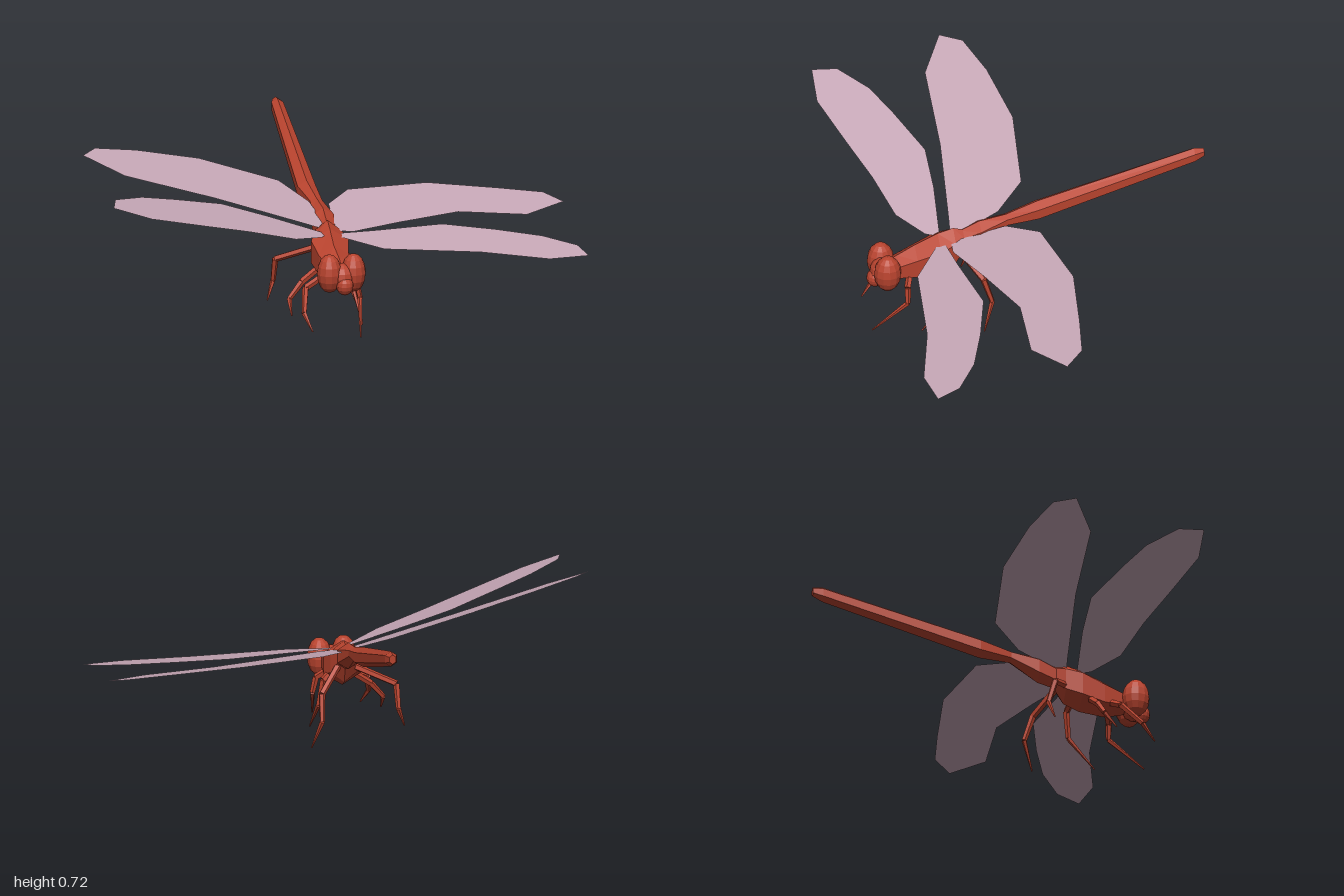
import * as THREE from 'three';

const bodyRed = new THREE.MeshStandardMaterial({ color: 0xb8432e });
bodyRed.name = 'body red';
const wingMauve = new THREE.MeshStandardMaterial({ color: 0xc6a7b6, side: THREE.DoubleSide });
wingMauve.name = 'wing mauve';

const forward = new THREE.Vector3(-0.6, 0, 0.8);
const side = new THREE.Vector3(0.8, 0, 0.6);
const yaw = Math.atan2(forward.x, forward.z);

function mesh(name, geometry, material) {
  const m = new THREE.Mesh(geometry, material);
  m.name = name;
  return m;
}

// Facet every face of a geometry
function flat(geometry) {
  const g = geometry.index ? geometry.toNonIndexed() : geometry;
  g.computeVertexNormals();
  return g;
}

// Hexagonal loft; stations are [x, y, z, half width, half height] from head to tail
function loft(stations) {
  const n = 6, pos = [], index = [];
  for (const [x, y, z, w, h] of stations) {
    for (let j = 0; j < n; j++) {
      const a = (j + 0.5) / n * Math.PI * 2;
      const c = Math.cos(a) * w * 1.1, s = Math.sin(a) * h;
      pos.push(x + side.x * c, y + s, z + side.z * c);
    }
  }
  const last = (stations.length - 1) * n;
  for (let i = 0; i < last; i += n) {
    for (let j = 0; j < n; j++) {
      const k = (j + 1) % n;
      index.push(i + j, i + n + j, i + k, i + k, i + n + j, i + n + k);
    }
  }
  for (let j = 1; j < n - 1; j++) {
    index.push(0, j, j + 1, last, last + j + 1, last + j);
  }
  const g = new THREE.BufferGeometry();
  g.setAttribute('position', new THREE.Float32BufferAttribute(pos, 3));
  g.setIndex(index);
  return flat(g);
}

// Flat membrane: outline in x and z, lying on the plane y = 0.386 + bx + cz
function wing(name, b, c, outline) {
  const shape = new THREE.Shape(outline.map(([x, z]) => new THREE.Vector2(x, -z)));
  const g = new THREE.ShapeGeometry(shape);
  const p = g.attributes.position;
  for (let i = 0; i < p.count; i++) {
    const x = p.getX(i), z = -p.getY(i);
    p.setXYZ(i, x, 0.386 + b * x + c * z, z);
  }
  g.computeVertexNormals();
  return mesh(name, g, wingMauve);
}

// Tapering leg through its joints, root first
function leg(name, joints) {
  const group = new THREE.Group();
  group.name = name;
  const radii = [0.015, 0.014, 0.011, 0.003];
  const pts = joints.map((j) => new THREE.Vector3(...j));
  for (let i = 0; i < pts.length - 1; i++) {
    const d = pts[i + 1].clone().sub(pts[i]);
    const r1 = i === pts.length - 2 ? 0.003 : radii[i + 1];
    const m = mesh('legSegment', flat(new THREE.CylinderGeometry(r1, radii[i], d.length(), 5)), bodyRed);
    m.position.copy(pts[i]).addScaledVector(d, 0.5);
    m.quaternion.setFromUnitVectors(new THREE.Vector3(0, 1, 0), d.normalize());
    group.add(m);
  }
  return group;
}

function ellipsoid(name, position, scale) {
  const m = mesh(name, flat(new THREE.SphereGeometry(1, 12, 8)), bodyRed);
  m.position.set(...position);
  m.scale.set(...scale);
  m.rotation.y = yaw;
  return m;
}

export function createModel() {
  const model = new THREE.Group();
  model.name = 'dragonfly';

  // Thorax, waist and long abdomen
  model.add(mesh('thorax', loft([
    [-0.155, 0.27, 0.22, 0.035, 0.035],
    [-0.13, 0.27, 0.185, 0.053, 0.055],
    [-0.09, 0.28, 0.12, 0.066, 0.08],
    [-0.03, 0.31, 0.045, 0.082, 0.095],
    [0.012, 0.335, -0.005, 0.06, 0.09],
    [0.04, 0.365, -0.035, 0.035, 0.05],
  ]), bodyRed));
  model.add(mesh('abdomen', loft([
    [0.03, 0.36, -0.025, 0.035, 0.05],
    [0.08, 0.39, -0.09, 0.048, 0.057],
    [0.145, 0.435, -0.185, 0.027, 0.026],
    [0.215, 0.456, -0.3, 0.04, 0.043],
    [0.62, 0.641, -0.82, 0.026, 0.033],
    [0.645, 0.65, -0.853, 0.015, 0.02],
  ]), bodyRed));

  // Head with two large eyes and a small face
  model.add(ellipsoid('leftEye', [-0.12, 0.275, 0.255], [0.052, 0.081, 0.057]));
  model.add(ellipsoid('rightEye', [-0.207, 0.278, 0.2], [0.052, 0.081, 0.057]));
  model.add(ellipsoid('head', [-0.165, 0.26, 0.235], [0.05, 0.06, 0.055]));
  model.add(ellipsoid('face', [-0.182, 0.232, 0.263], [0.036, 0.04, 0.036]));

  // Wings
  model.add(wing('rightHindWing', -0.054, -0.397, [
    [0.0, 0.0], [-0.06, -0.06], [-0.33, -0.32], [-0.62, -0.56], [-0.69, -0.73], [-0.585, -0.757],
    [-0.4, -0.695], [-0.15, -0.57], [0.09, -0.345], [0.1, -0.185], [0.03, -0.03],
  ]));
  model.add(wing('rightFrontWing', -0.153, -0.321, [
    [-0.03, 0.03], [-0.09, 0.055], [-0.25, 0.055], [-0.45, -0.03], [-0.655, -0.1], [-0.88, -0.18],
    [-1, -0.285], [-0.917, -0.35], [-0.746, -0.355], [-0.585, -0.32], [-0.36, -0.26], [-0.21, -0.14],
  ]));
  model.add(wing('leftHindWing', 0.093, -0.235, [
    [0.03, 0.03], [0.08, 0.075], [0.3, 0.135], [0.57, 0.22], [0.79, 0.405], [1, 0.42], [0.99, 0.315],
    [0.86, 0.18], [0.65, -0.025], [0.335, -0.18], [0.175, -0.145],
  ]));
  model.add(wing('leftFrontWing', 0.096, -0.183, [
    [-0.01, 0.06], [0.055, 0.27], [0.345, 0.545], [0.52, 0.77], [0.67, 0.853], [0.705, 0.757],
    [0.655, 0.607], [0.55, 0.446], [0.415, 0.27], [0.16, 0.135], [0.03, 0.06],
  ]));

  // Legs
  model.add(leg('leftFrontLeg', [[-0.085, 0.26, 0.15], [-0.05, 0.21, 0.21], [-0.04, 0.145, 0.22], [-0.147, 0.016, 0.32]]));
  model.add(leg('leftMiddleLeg', [[0, 0.3, 0.05], [0.06, 0.25, 0.07], [0.067, 0.14, 0.09], [0.01, 0.016, 0.19]]));
  model.add(leg('leftHindLeg', [[0.04, 0.335, -0.005], [0.165, 0.23, -0.02], [0.19, 0.12, -0.045], [0.195, 0.0, 0.01]]));
  model.add(leg('rightFrontLeg', [[-0.12, 0.26, 0.13], [-0.225, 0.2, 0.085], [-0.295, 0.115, 0.14], [-0.31, 0.05, 0.2]]));
  model.add(leg('rightMiddleLeg', [[-0.06, 0.28, 0.06], [-0.165, 0.2, 0.01], [-0.22, 0.135, -0.01], [-0.25, 0.075, 0.03]]));
  model.add(leg('rightHindLeg', [[-0.01, 0.32, -0.02], [-0.105, 0.25, -0.19], [-0.09, 0.15, -0.215], [-0.125, 0.072, -0.215]]));

  return model;
}
